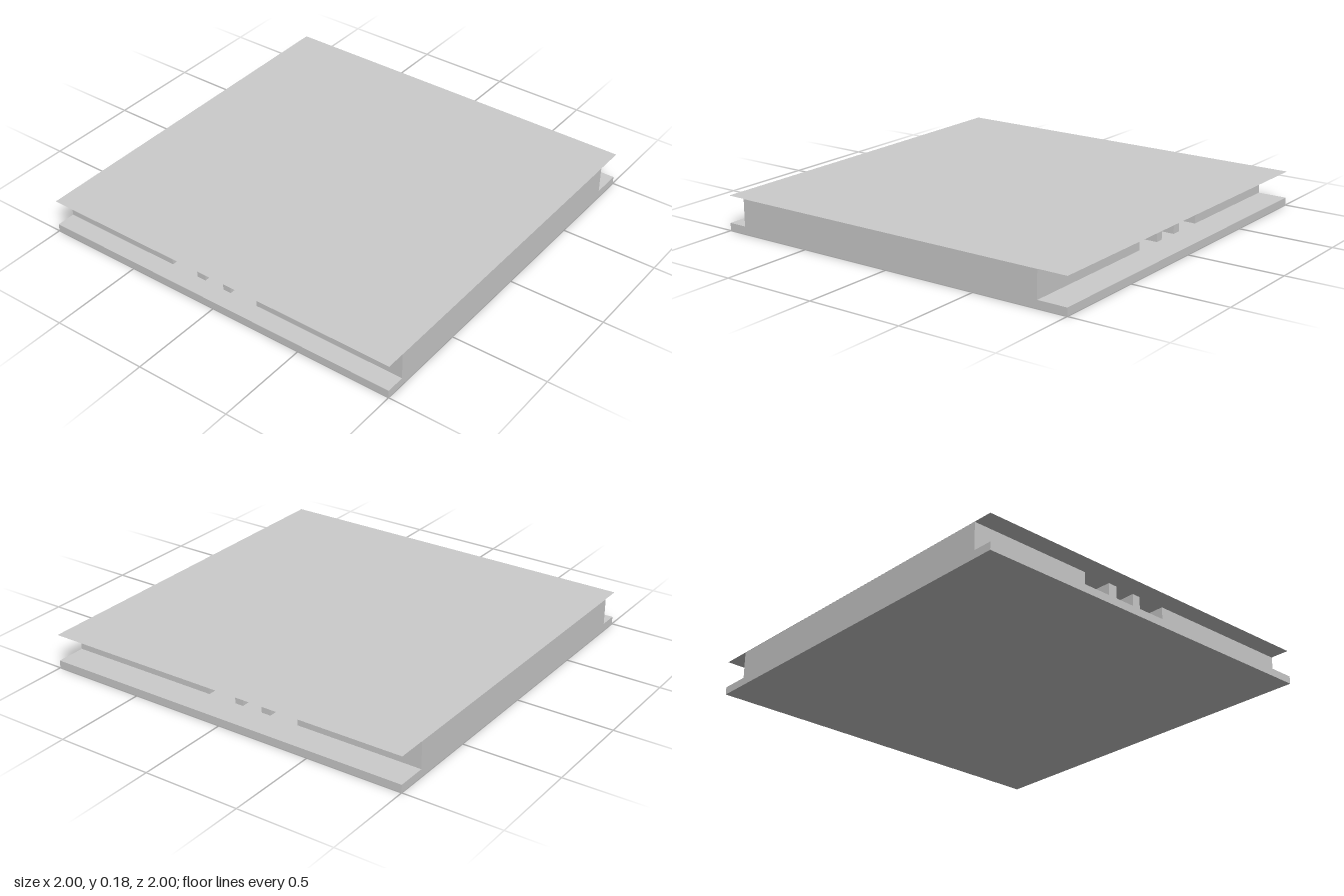
import * as THREE from 'three';

const BASE_TOP = 0.04, ROOF = 0.18;
const LEFT = 0.845, RIGHT = -0.9, DEPTH = 0.3;
// z ranges of the recessed bays, separated by thin partition walls
const BAYS = [[-0.335, -0.18], [-0.13, -0.02], [0.025, 0.18]];

export function createModel() {
  const group = new THREE.Group();
  const add = (name, geometry, y, side = THREE.FrontSide) => {
    const material = new THREE.MeshStandardMaterial({ color: 0xcccccc, flatShading: true, side });
    const mesh = new THREE.Mesh(geometry, material);
    mesh.name = name;
    mesh.position.y = y;
    group.add(mesh);
  };

  // Floor slab
  add('floorSlab', new THREE.BoxGeometry(2, BASE_TOP, 2), BASE_TOP / 2);

  // Storey: plan outline (x, z) with recessed bays along both sides
  const plan = [new THREE.Vector2(LEFT, -1)];
  const point = (x, z) => plan.push(new THREE.Vector2(x, z));
  for (const [a, b] of BAYS) {
    point(LEFT, a);
    point(LEFT - DEPTH, a);
    point(LEFT - DEPTH, b);
    point(LEFT, b);
  }
  point(LEFT, 1);
  point(RIGHT, 1);
  for (const [a, b] of [...BAYS].reverse()) {
    point(RIGHT, b);
    point(RIGHT + DEPTH, b);
    point(RIGHT + DEPTH, a);
    point(RIGHT, a);
  }
  point(RIGHT, -1);
  const top = ROOF - 0.001;
  const walls = new THREE.ExtrudeGeometry(new THREE.Shape(plan), { depth: top - BASE_TOP, bevelEnabled: false });
  walls.rotateX(Math.PI / 2);
  add('storeyWalls', walls, top);

  // Paper-thin roof sheet overhanging both sides
  add('roofSheet', new THREE.PlaneGeometry(2, 2).rotateX(-Math.PI / 2), ROOF, THREE.DoubleSide);

  return group;
}
